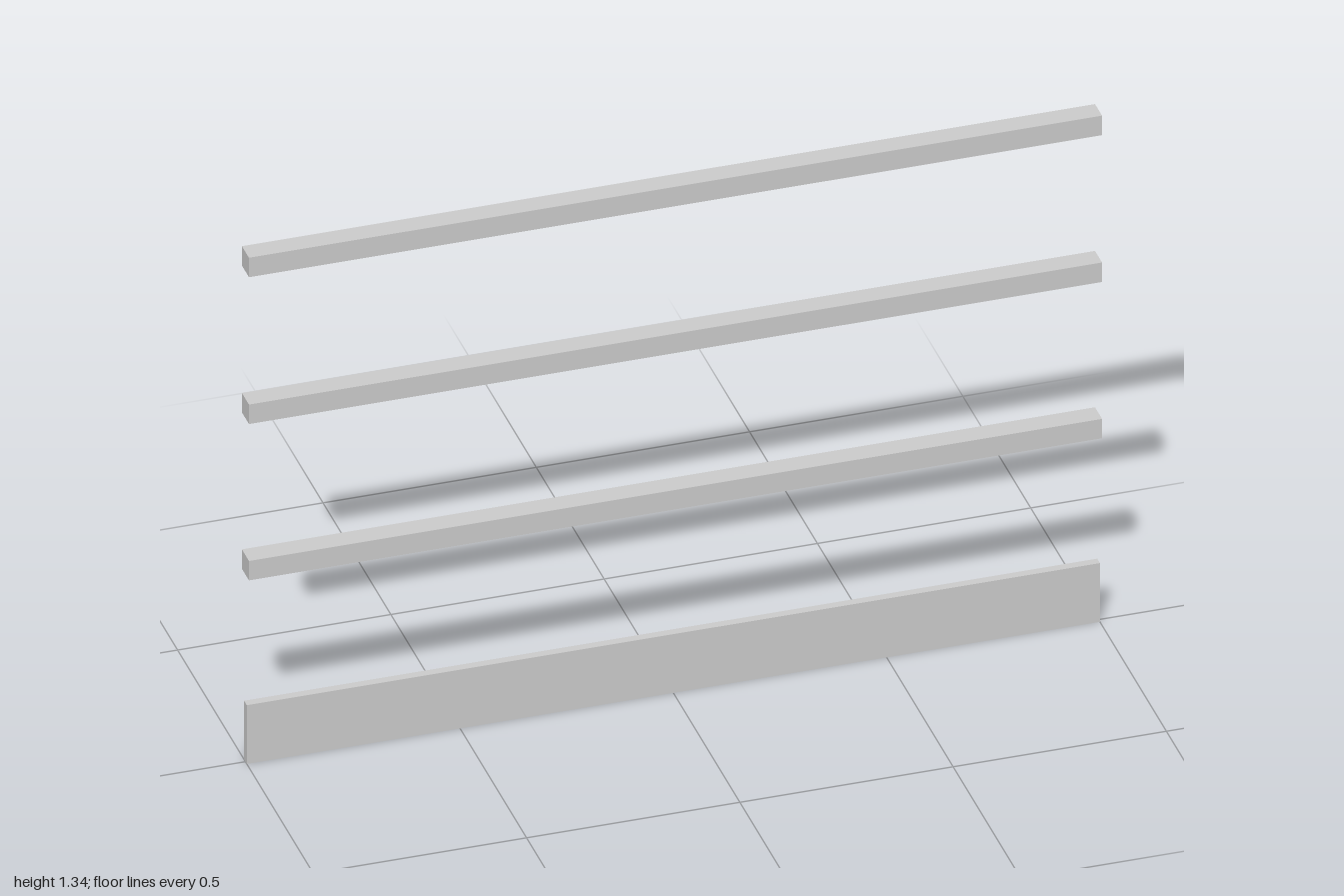
import * as THREE from 'three';

const LENGTH = 2;

export function createModel() {
  const group = new THREE.Group();
  const material = new THREE.MeshStandardMaterial({ color: 0xcccccc });

  // Full-length horizontal member, centred on the given height
  function addMember(name, height, depth, y) {
    const mesh = new THREE.Mesh(new THREE.BoxGeometry(LENGTH, height, depth), material);
    mesh.name = name;
    mesh.position.y = y;
    group.add(mesh);
  }

  // Thin upright board at the bottom
  addMember('toeBoard', 0.154, 0.02, 0.077);

  // Square rails above it
  const rails = { lowerRail: 0.516, middleRail: 0.926, topRail: 1.311 };
  for (const [name, y] of Object.entries(rails)) addMember(name, 0.051, 0.052, y);

  return group;
}
